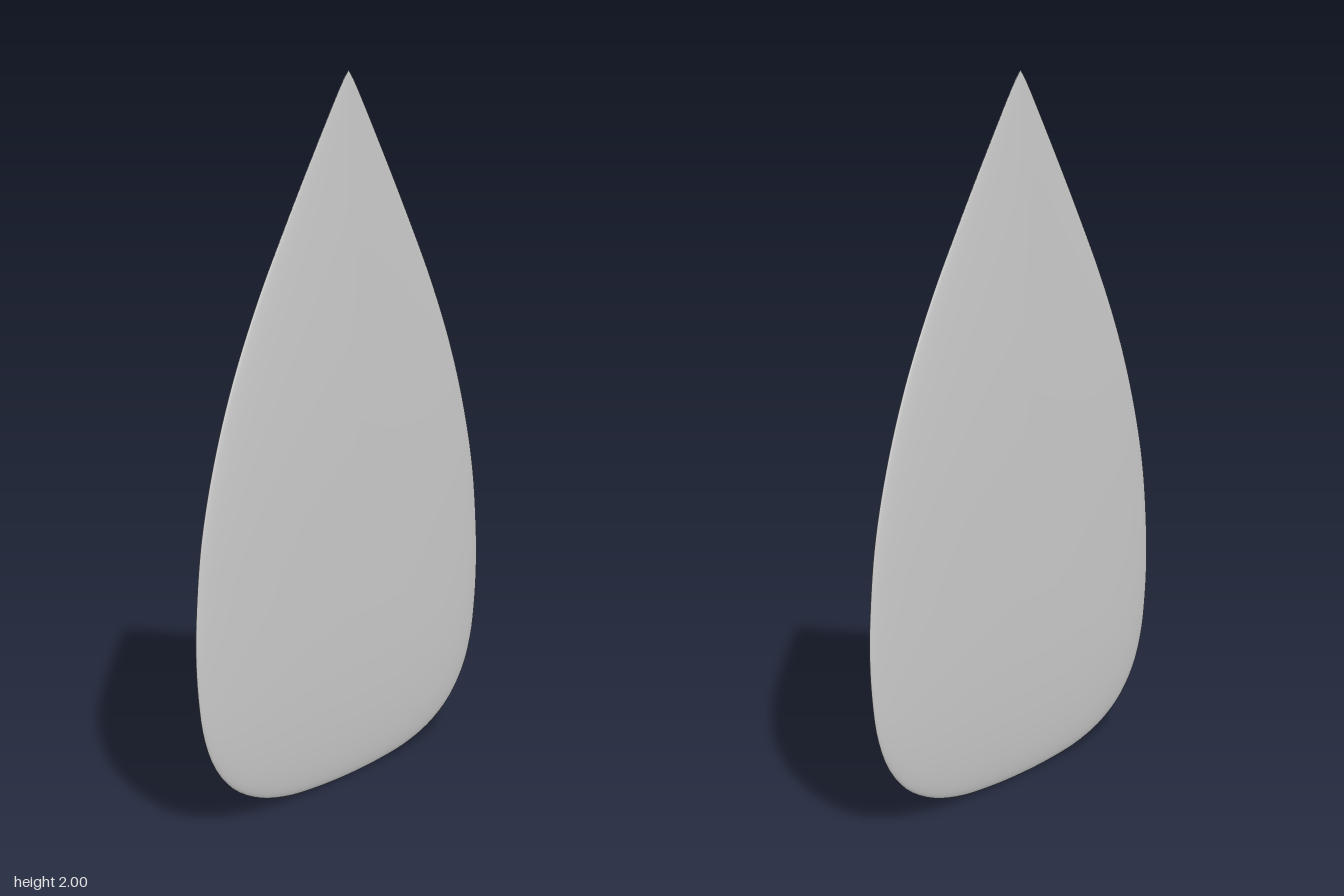
import * as THREE from 'three';
import { mergeVertices } from 'three/addons/utils/BufferGeometryUtils.js';

// Half outline from tip to base: [half width, height]
const HALF = [
  [0.022, 1.975], [0.14, 1.8], [0.268, 1.6], [0.388, 1.4], [0.488, 1.2], [0.563, 1.0],
  [0.614, 0.8], [0.637, 0.6], [0.64, 0.5], [0.633, 0.39], [0.614, 0.28], [0.573, 0.185],
  [0.5, 0.105], [0.4, 0.05], [0.28, 0.018], [0.14, 0.004],
];
const CENTRE_Y = 0.6;
const HALF_THICKNESS = 0.03;

export function createModel() {
  const group = new THREE.Group();
  group.name = 'leafPlate';

  // Closed outline, counterclockwise from the tip
  const outline = new THREE.CatmullRomCurve3([
    new THREE.Vector3(0, 2, 0),
    ...HALF.map(([x, y]) => new THREE.Vector3(-x, y, 0)),
    new THREE.Vector3(0, 0, 0),
    ...HALF.slice().reverse().map(([x, y]) => new THREE.Vector3(x, y, 0)),
  ], true);
  outline.arcLengthDivisions = 1000;

  // A sphere whose poles face front and back, flattened into the outline
  const around = 160, rings = 48;
  const rim = outline.getSpacedPoints(around);
  const geometry = new THREE.SphereGeometry(1, around, rings);
  const pos = geometry.attributes.position;
  for (let i = 0; i < pos.count; i++) {
    const edge = rim[i % (around + 1)];
    const phi = Math.PI * Math.floor(i / (around + 1)) / rings;
    const s = Math.sin(phi);
    const x = edge.x * s;
    const y = CENTRE_Y + (edge.y - CENTRE_Y) * s;
    // Full in the middle, thin at the rim, and thinner towards the tip
    const taper = 1 - 0.7 * Math.max(0, (y - 0.8) / 1.2) ** 2;
    const bulge = Math.sqrt(Math.max(0, 1 - s ** 2.6)) * Math.sign(rings / 2 - Math.floor(i / (around + 1)));
    pos.setXYZ(i, x, y, HALF_THICKNESS * taper * bulge);
  }

  // Weld the seam so the shading is smooth all round
  geometry.deleteAttribute('normal');
  geometry.deleteAttribute('uv');
  const smooth = mergeVertices(geometry, 1e-5);
  smooth.computeVertexNormals();

  const blade = new THREE.Mesh(smooth, new THREE.MeshStandardMaterial({ color: 0xcccccc }));
  blade.name = 'blade';
  group.add(blade);
  return group;
}
